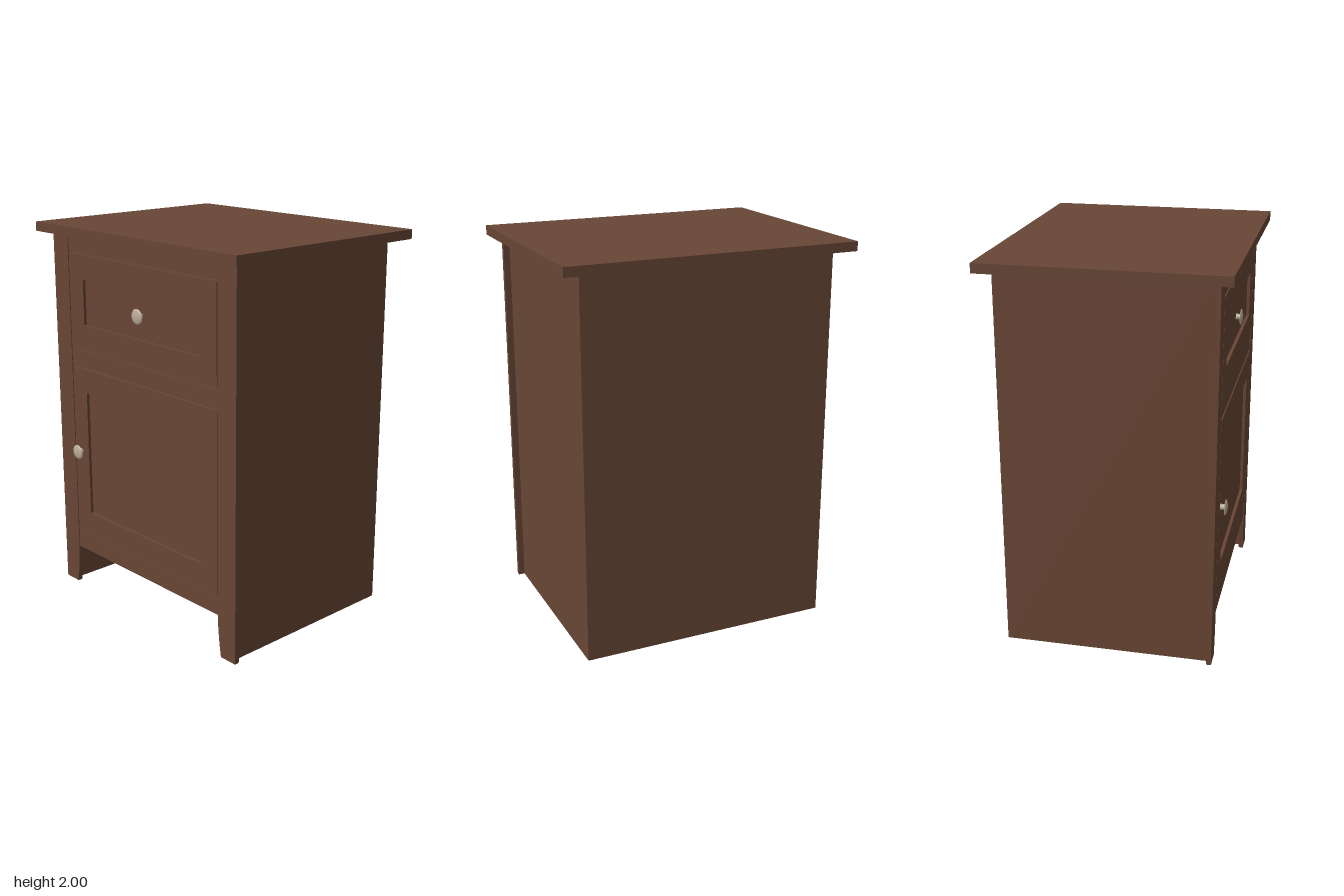
import * as THREE from 'three';

export function createModel() {
  const cabinet = new THREE.Group();
  cabinet.name = 'bedsideCabinet';

  const wood = new THREE.MeshStandardMaterial({ color: 0x684635 });
  wood.name = 'brown wood';
  const metal = new THREE.MeshStandardMaterial({ color: 0xbaab97 });
  metal.name = 'brushed metal';

  const add = (name, geometry, material = wood, parent = cabinet) => {
    const mesh = new THREE.Mesh(geometry, material);
    mesh.name = name;
    parent.add(mesh);
    return mesh;
  };

  // Box given by its limits on each axis
  const box = (name, x0, x1, y0, y1, z0, z1, parent) => {
    const mesh = add(name, new THREE.BoxGeometry(x1 - x0, y1 - y0, z1 - z0), wood, parent);
    mesh.position.set((x0 + x1) / 2, (y0 + y1) / 2, (z0 + z1) / 2);
    return mesh;
  };

  const FRONT = 0.535, FRAME_BACK = 0.51, BACK = -0.532, TOP = 1.952, OPEN = 0.567;
  const SIDE = 0.657, INNER = 0.627;

  // Carcass, set in from the wider front frame
  box('tabletop', -0.753, 0.753, TOP, 2, -0.598, 0.598);
  box('backPanel', -INNER, INNER, 0, TOP, BACK, BACK + 0.025);
  box('bottomShelf', -INNER, INNER, 0.222, 0.25, BACK + 0.025, FRAME_BACK);

  for (const s of [-1, 1]) {
    const side = s > 0 ? 'left' : 'right';
    box(side + 'SidePanel', Math.min(s * INNER, s * SIDE), Math.max(s * INNER, s * SIDE),
      0, TOP, BACK, FRAME_BACK);

    // Front stile that narrows into a curved foot
    const shape = new THREE.Shape();
    shape.moveTo(s * 0.69, 0);
    shape.lineTo(s * 0.69, TOP);
    shape.lineTo(s * OPEN, TOP);
    shape.lineTo(s * OPEN, 0.217);
    shape.quadraticCurveTo(s * 0.572, 0.1, s * 0.59, 0);
    shape.closePath();
    const stile = add(side + 'Stile', new THREE.ExtrudeGeometry(shape, {
      depth: FRONT - FRAME_BACK, bevelEnabled: false, curveSegments: 8,
    }));
    stile.position.z = FRAME_BACK;
  }

  // Cross rails, set slightly behind the face of the stiles
  [['topRail', 1.86, TOP], ['middleRail', 1.26, 1.353], ['bottomRail', 0.217, 0.315]].forEach(
    ([name, y0, y1]) => box(name, -OPEN, OPEN, y0, y1, FRAME_BACK - 0.005, FRONT - 0.004));

  // Framed front with a recessed centre panel
  const framedFront = (name, y0, y1, inset0, inset1) => {
    const group = new THREE.Group();
    group.name = name;
    cabinet.add(group);
    const w = 0.561, p = 0.447;
    const shape = new THREE.Shape([[-w, y0], [w, y0], [w, y1], [-w, y1]]
      .map(([x, y]) => new THREE.Vector2(x, y)));
    shape.holes.push(new THREE.Path([[-p, inset0], [-p, inset1], [p, inset1], [p, inset0]]
      .map(([x, y]) => new THREE.Vector2(x, y))));
    const frame = add(name + 'Frame',
      new THREE.ExtrudeGeometry(shape, { depth: 0.03, bevelEnabled: false }), wood, group);
    frame.position.z = FRONT - 0.03;
    box(name + 'Panel', -p, p, inset0, inset1, 0.495, 0.519, group);
  };
  framedFront('drawer', 1.358, 1.856, 1.49, 1.727);
  framedFront('door', 0.32, 1.255, 0.45, 1.127);

  // Round knobs with a slim stem and a shallow domed head
  const knob = (name, x, y, z) => {
    const profile = [[0.016, 0], [0.014, 0.02], [0.016, 0.026], [0.039, 0.024],
      [0.039, 0.028], [0.03, 0.032], [0.016, 0.035], [0, 0.036]]
      .map(([r, h]) => new THREE.Vector2(r, h));
    const mesh = add(name, new THREE.LatheGeometry(profile, 24), metal);
    mesh.rotation.x = Math.PI / 2;
    mesh.position.set(x, y, z);
  };
  knob('drawerKnob', 0, 1.607, 0.518);
  knob('doorKnob', -0.51, 0.79, FRONT);

  return cabinet;
}
